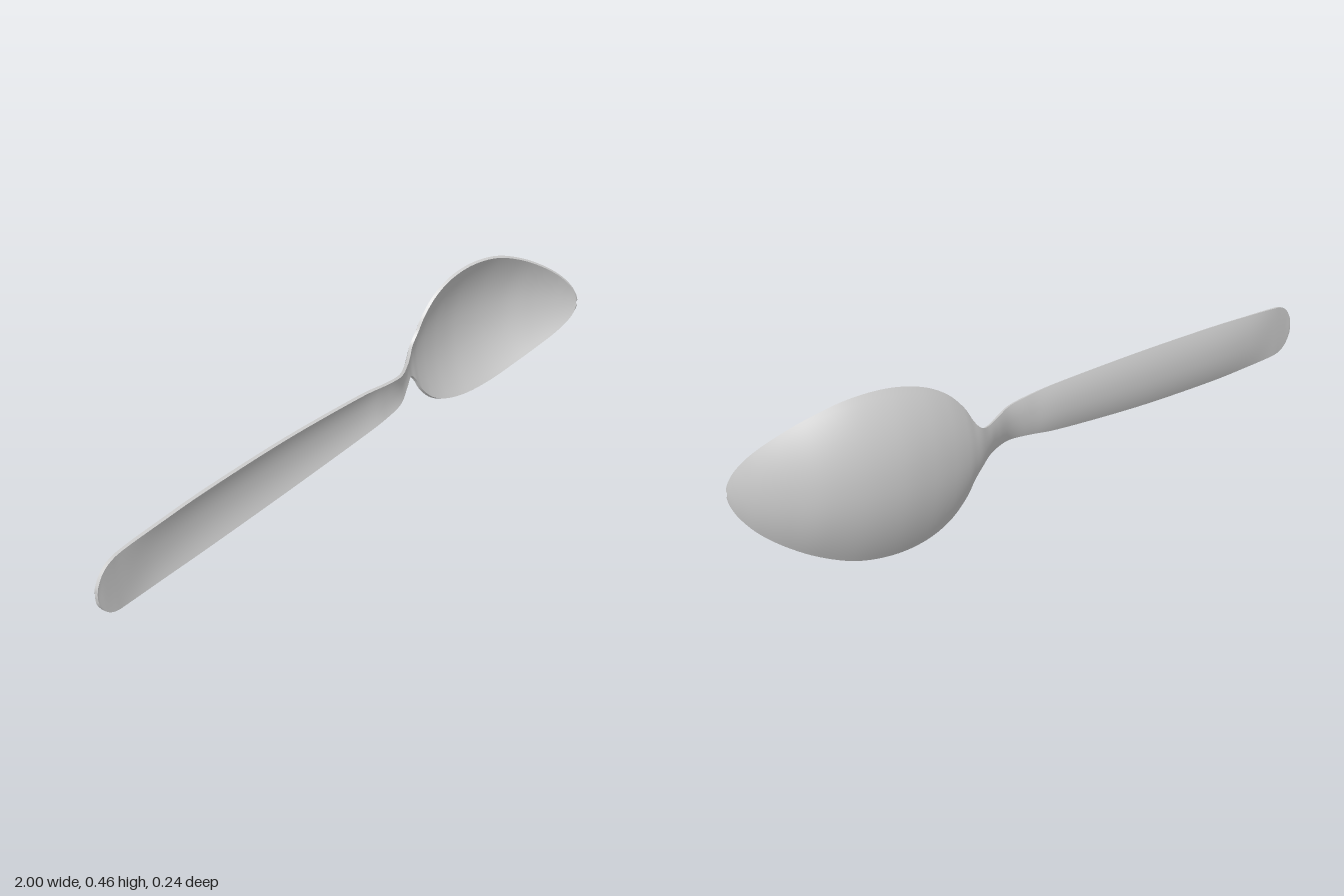
import * as THREE from 'three';

const THICK = 0.009, MID_Y = 0.231, NU = 200, NV = 28;

// Stations along the spoon: x, half width, z of the back on the centre line, z of the front rim
const STATIONS = [
  [-1, 0.008, 0.011, 0.02], [-0.994, 0.031, 0.010, 0.02], [-0.976, 0.058, 0.009, 0.019],
  [-0.947, 0.075, 0.006, 0.017], [-0.9, 0.081, 0.001, 0.013], [-0.78, 0.084, -0.011, 0.009],
  [-0.6, 0.087, -0.02, 0.005], [-0.3, 0.083, -0.022, 0.003], [0, 0.069, -0.015, 0.007],
  [0.12, 0.057, -0.006, 0.011], [0.2, 0.047, -0.012, 0.005], [0.27, 0.04, -0.042, -0.026],
  [0.32, 0.04, -0.07, -0.053], [0.36, 0.053, -0.09, -0.074], [0.39, 0.083, -0.1, -0.077],
  [0.42, 0.13, -0.108, -0.074], [0.47, 0.178, -0.116, -0.069], [0.54, 0.212, -0.121, -0.061],
  [0.63, 0.227, -0.118, -0.047], [0.73, 0.218, -0.098, -0.026], [0.82, 0.186, -0.062, 0.004],
  [0.89, 0.147, -0.012, 0.038], [0.94, 0.108, 0.034, 0.07], [0.972, 0.069, 0.073, 0.096],
  [0.988, 0.036, 0.097, 0.111], [0.993, 0.008, 0.106, 0.117],
];
const spline = (col) => new THREE.CatmullRomCurve3(
  STATIONS.map((s) => new THREE.Vector3(s[0], s[1], s[col])), false, 'catmullrom', 0.5);
const backLine = spline(2), rimLine = spline(3);

// Concave upper surface: a plane bent into a trough at every station
function frontGeometry() {
  const geo = new THREE.PlaneGeometry(1, 1, NU, NV);
  const pos = geo.attributes.position;
  for (let i = 0; i < pos.count; i++) {
    const t = THREE.MathUtils.clamp(pos.getX(i) + 0.5, 0, 1), v = pos.getY(i) * 2;
    const rim = rimLine.getPoint(t), floor = backLine.getPoint(t).z + THICK;
    const z = floor + (rim.z - floor) * Math.abs(v) ** 2.1;
    pos.setXYZ(i, rim.x, MID_Y + v * rim.y, z);
  }
  geo.computeVertexNormals();
  return geo;
}

// Convex underside: the upper surface moved along its normals and turned over
function backGeometry(front) {
  const geo = front.clone();
  const pos = geo.attributes.position, nor = front.attributes.normal;
  for (let i = 0; i < pos.count; i++) {
    pos.setXYZ(i, pos.getX(i) - nor.getX(i) * THICK, pos.getY(i) - nor.getY(i) * THICK,
      pos.getZ(i) - nor.getZ(i) * THICK);
  }
  geo.setIndex(Array.from(front.index.array).reverse());
  geo.computeVertexNormals();
  return geo;
}

// Narrow band joining the two surfaces all round the outline
function edgeGeometry(front, back) {
  const at = (col, row) => row * (NU + 1) + col;
  const loop = [];
  for (let c = 0; c < NU; c++) loop.push(at(c, 0));
  for (let r = 0; r < NV; r++) loop.push(at(NU, r));
  for (let c = NU; c > 0; c--) loop.push(at(c, NV));
  for (let r = NV; r > 0; r--) loop.push(at(0, r));
  const verts = [], index = [], n = loop.length;
  loop.forEach((id, i) => {
    for (const g of [front, back]) {
      const p = g.attributes.position;
      verts.push(p.getX(id), p.getY(id), p.getZ(id));
    }
    const a = i * 2, b = ((i + 1) % n) * 2;
    index.push(a, b, a + 1, b, b + 1, a + 1);
  });
  const geo = new THREE.BufferGeometry();
  geo.setAttribute('position', new THREE.Float32BufferAttribute(verts, 3));
  geo.setIndex(index);
  geo.computeVertexNormals();
  return geo;
}

export function createModel() {
  const group = new THREE.Group();
  group.name = 'spoon';
  const material = new THREE.MeshStandardMaterial({ color: 0xcccccc });
  const front = frontGeometry(), back = backGeometry(front);
  const parts = { upperSurface: front, underside: back, edgeBand: edgeGeometry(front, back) };
  for (const [name, geo] of Object.entries(parts)) {
    const mesh = new THREE.Mesh(geo, material);
    mesh.name = name;
    group.add(mesh);
  }
  return group;
}
